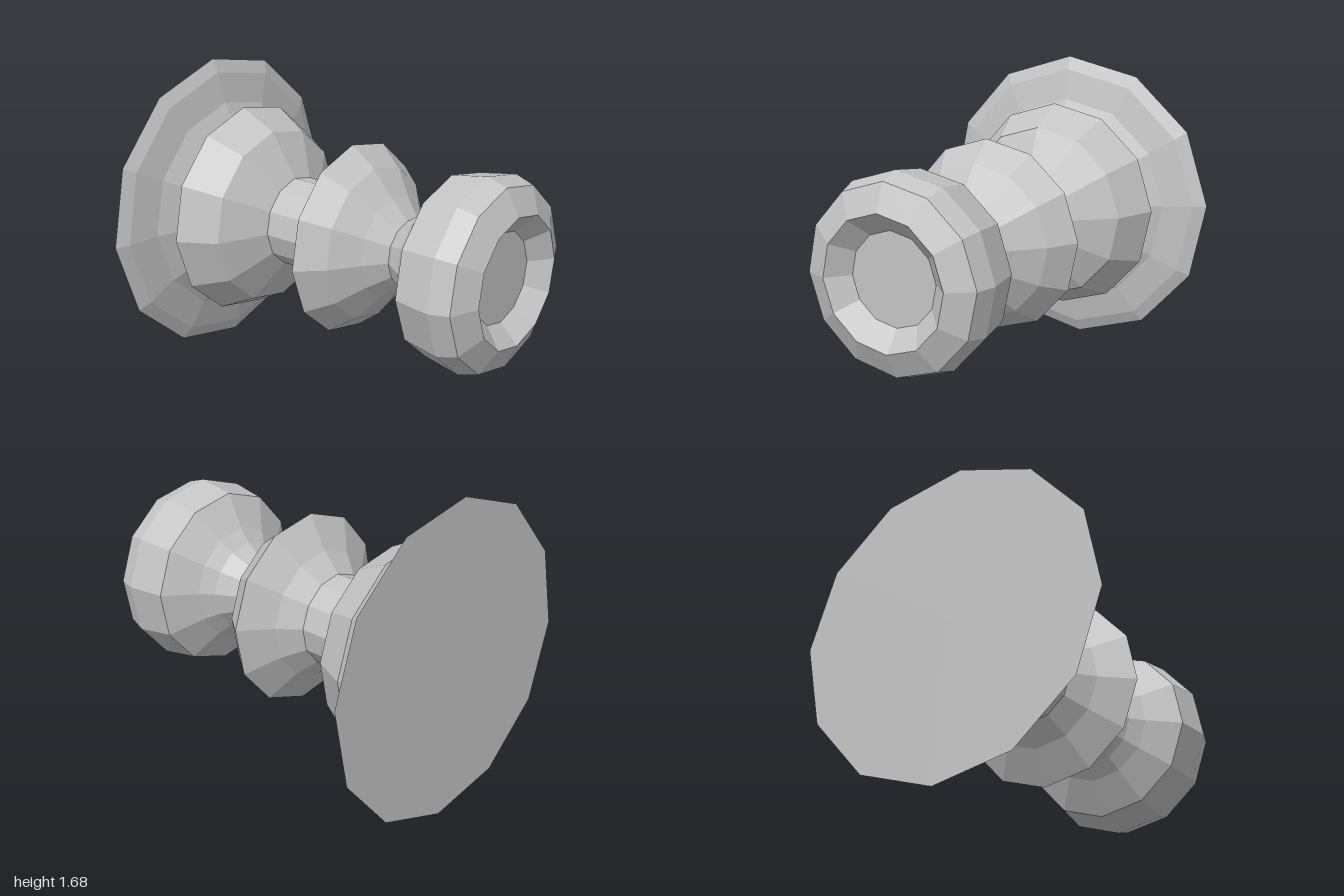
import * as THREE from 'three';

const SIDES = 12;
const TWIST = 0.058; // small roll of the facets about the long axis
const BASE_RADIUS = 0.842;

// Each part is a run of [position along x, radius]; neighbours share an end ring.
const PARTS = {
  basePlate: [[-1, 0], [-1, BASE_RADIUS], [-0.965, 0.77], [-0.93, 0.6], [-0.86, 0.455]],
  baseCollar: [[-0.86, 0.455], [-0.79, 0.595], [-0.58, 0.49], [-0.44, 0.247]],
  neck: [[-0.44, 0.247], [-0.23, 0.247]],
  middleBulge: [[-0.23, 0.247], [-0.13, 0.35], [-0.02, 0.525], [0.12, 0.42], [0.23, 0.28], [0.33, 0.176]],
  knobFlare: [[0.33, 0.176], [0.44, 0.245], [0.5, 0.315], [0.61, 0.49]],
  knob: [[0.61, 0.49], [0.82, 0.525], [0.93, 0.49], [1, 0.35]],
  knobRecess: [[1, 0.35], [0.9, 0.245], [0.9, 0]],
};

export function createModel() {
  const group = new THREE.Group();
  group.name = 'turnedKnob';
  const grey = new THREE.MeshStandardMaterial({ color: 0xc4c4c4, flatShading: true });
  grey.name = 'plain grey';

  for (const [name, profile] of Object.entries(PARTS)) {
    const points = profile.map(([x, r]) => new THREE.Vector2(r, x));
    const geometry = new THREE.LatheGeometry(points, SIDES, -Math.PI / 2 + TWIST);
    geometry.rotateZ(-Math.PI / 2); // lay the turning axis along x
    geometry.translate(0, BASE_RADIUS * Math.cos(TWIST), 0);
    const mesh = new THREE.Mesh(geometry, grey);
    mesh.name = name;
    group.add(mesh);
  }
  return group;
}
